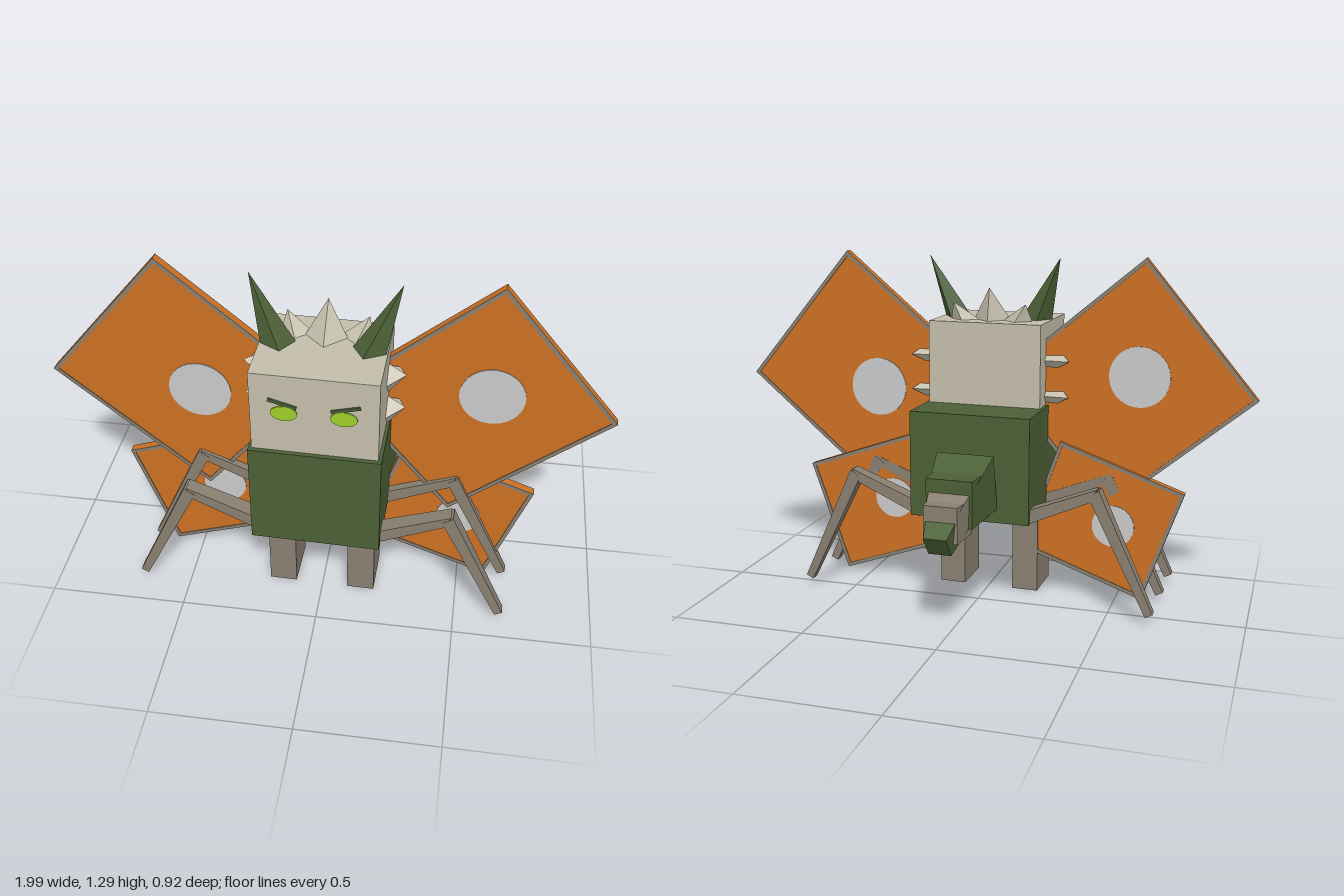
import * as THREE from 'three';
import { ConvexGeometry } from 'three/addons/geometries/ConvexGeometry.js';

const paint = (name, color) => {
  const m = new THREE.MeshStandardMaterial({ color });
  m.name = name;
  return m;
};

export function createModel() {
  const green = paint('mossGreen', 0x4b6036);
  const cream = paint('cream', 0xc4beab);
  const stone = paint('stone', 0x898071);
  const orange = paint('orange', 0xcc7022);
  const grey = paint('paleGrey', 0xcacaca);
  const lime = paint('lime', 0xa0cf2a);

  const model = new THREE.Group();
  model.name = 'wingedCreature';
  // The whole creature is turned very slightly about its middle
  const creature = new THREE.Group();
  creature.name = 'creature';
  creature.position.z = 0.18;
  creature.rotation.y = -0.022;
  model.add(creature);

  const add = (name, geo, mat, x = 0, y = 0, z = 0, parent = creature) => {
    const mesh = new THREE.Mesh(geo, mat);
    mesh.name = name;
    mesh.position.set(x, y, z);
    parent.add(mesh);
    return mesh;
  };
  const V = (x, y, z) => new THREE.Vector3(x, y, z);
  const hull = (name, points, mat) => add(name, new ConvexGeometry(points), mat);

  // Body with a bare belly, and the head
  add('body', new THREE.BoxGeometry(0.455, 0.395, 0.555),
    [green, green, green, stone, green, green], 0, 0.5375, 0);
  add('head', new THREE.BoxGeometry(0.432, 0.31, 0.357), cream, 0, 0.89, 0.083);

  // Pyramid spike: four base corners around a centre, spread along u and v, plus a tip
  const spike = (name, c, u, v, tip, mat) => hull(name, [
    c.clone().add(u), c.clone().sub(u), c.clone().add(v), c.clone().sub(v), tip], mat);

  for (const s of [1, -1]) {
    const side = s > 0 ? 'left' : 'right';

    // Standing legs
    add(side + 'StandingLeg', new THREE.BoxGeometry(0.1, 0.36, 0.18), stone, s * 0.147, 0.18, 0.057);

    // Three jointed side legs, tapering to the feet
    [0.21, 0, -0.23].forEach((z, i) => {
      const limb = (name, a, b, wa, wb) => {
        const pts = [];
        for (const [end, w] of [[a, wa], [b, wb]])
          for (const [x, y] of end)
            for (const d of [-1, 1]) pts.push(V(s * x, y, z + d * w / 2));
        hull(`${side}${name}${i + 1}`, pts, stone);
      };
      limb('UpperLeg', [[0.2, 0.332], [0.2, 0.385]], [[0.455, 0.445], [0.47, 0.49]], 0.062, 0.052);
      limb('LowerLeg', [[0.44, 0.462], [0.478, 0.488]], [[0.655, 0.028], [0.682, 0.042]], 0.055, 0.034);
    });

    // Horns
    spike(side + 'Horn', V(s * 0.15, 1.035, 0.075), V(s * 0.06, 0, 0.015), V(s * -0.015, 0, 0.055),
      V(s * 0.255, 1.28, 0.03), green);

    // Mane spikes at the crown and down the cheeks
    spike(side + 'CrownSpike', V(s * 0.1, 1.04, 0.0), V(0.06, 0, 0), V(0, 0, 0.05),
      V(s * 0.14, 1.11, -0.03), cream);
    for (const y of [0.915, 0.78]) {
      spike(side + 'CheekSpike', V(s * 0.21, y, 0.03), V(0, 0.065, 0.02), V(0, 0.01, 0.06),
        V(s * 0.31, y - 0.01, -0.035), cream);
      spike(side + 'CheekBarb', V(s * 0.21, y, 0.04), V(0, 0.065, 0), V(0, 0, 0.055),
        V(s * 0.28, y + 0.035, 0.06), cream);
    }

    // Eyes and slanted brows
    const eye = add(side + 'Eye', new THREE.CylinderGeometry(0.045, 0.045, 0.006, 20), lime,
      s * 0.1, 0.897, 0.2635);
    eye.rotation.x = Math.PI / 2;
    eye.scale.z = 0.64;
    const brow = add(side + 'Brow', new THREE.BoxGeometry(0.1, 0.011, 0.008), green,
      s * 0.105, 0.936, 0.2645);
    brow.rotation.z = s * 0.27;
  }
  spike('centreCrownSpike', V(0, 1.04, 0.015), V(0.075, 0, 0), V(0, 0, 0.07), V(0, 1.168, -0.03), cream);

  // Rectangular wings: rim plates and an off-centre disc on both faces
  const wing = (name, x, y, z, angle, w, h, r, shift) => {
    const g = new THREE.Group();
    g.name = name;
    g.position.set(x, y, z);
    g.rotation.z = angle;
    creature.add(g);
    add('wingPanel', new THREE.BoxGeometry(w, h, 0.026), orange, 0, 0, 0, g);
    const rect = (P, a, b) => new P().moveTo(-a, -b).lineTo(a, -b).lineTo(a, b).lineTo(-a, b).closePath();
    const frame = rect(THREE.Shape, w / 2, h / 2);
    frame.holes.push(rect(THREE.Path, w / 2 - 0.014, h / 2 - 0.014));
    for (const f of [1, -1]) {
      add('wingRim', new THREE.ExtrudeGeometry(frame, { depth: 0.003, bevelEnabled: false }),
        stone, 0, 0, f > 0 ? 0.013 : -0.016, g);
      const disc = add('wingSpot', new THREE.CylinderGeometry(r, r, 0.003, 32), grey,
        f * shift, 0, f * 0.0145, g);
      disc.rotation.x = Math.PI / 2;
    }
  };
  for (const s of [1, -1]) {
    const side = s > 0 ? 'left' : 'right';
    wing(side + 'UpperWing', s * 0.5125, 0.8125, 0, s * 0.698, 0.717, 0.646, 0.113, 0.073);
    wing(side + 'LowerWing', s * 0.44, 0.305, -0.013, s * -0.339, 0.5, 0.45, 0.08, 0.05);
  }

  // Tail: tapering blocks given by side outlines [z, y], near end first
  const tailBlock = (name, near, far, wn, wf, mat) => {
    const pts = [];
    for (const [end, w] of [[near, wn], [far, wf]])
      for (const [z, y] of end)
        for (const d of [-1, 1]) pts.push(V(d * w, y, z - 0.18));
    hull(name, pts, mat);
  };
  tailBlock('tailRoot', [[-0.09, 0.39], [-0.137, 0.6]], [[-0.27, 0.385], [-0.29, 0.515]], 0.107, 0.085, green);
  tailBlock('tailBase', [[-0.15, 0.38], [-0.15, 0.55]], [[-0.315, 0.38], [-0.315, 0.55]], 0.095, 0.085, green);
  tailBlock('tailJoint', [[-0.27, 0.35], [-0.27, 0.48]], [[-0.405, 0.35], [-0.405, 0.48]], 0.07, 0.062, stone);
  tailBlock('tailMiddle', [[-0.28, 0.4], [-0.3, 0.51]], [[-0.38, 0.35], [-0.4, 0.45]], 0.078, 0.06, stone);
  tailBlock('tailTip', [[-0.33, 0.355], [-0.385, 0.44]], [[-0.41, 0.31], [-0.46, 0.38]], 0.058, 0.042, green);

  return model;
}
